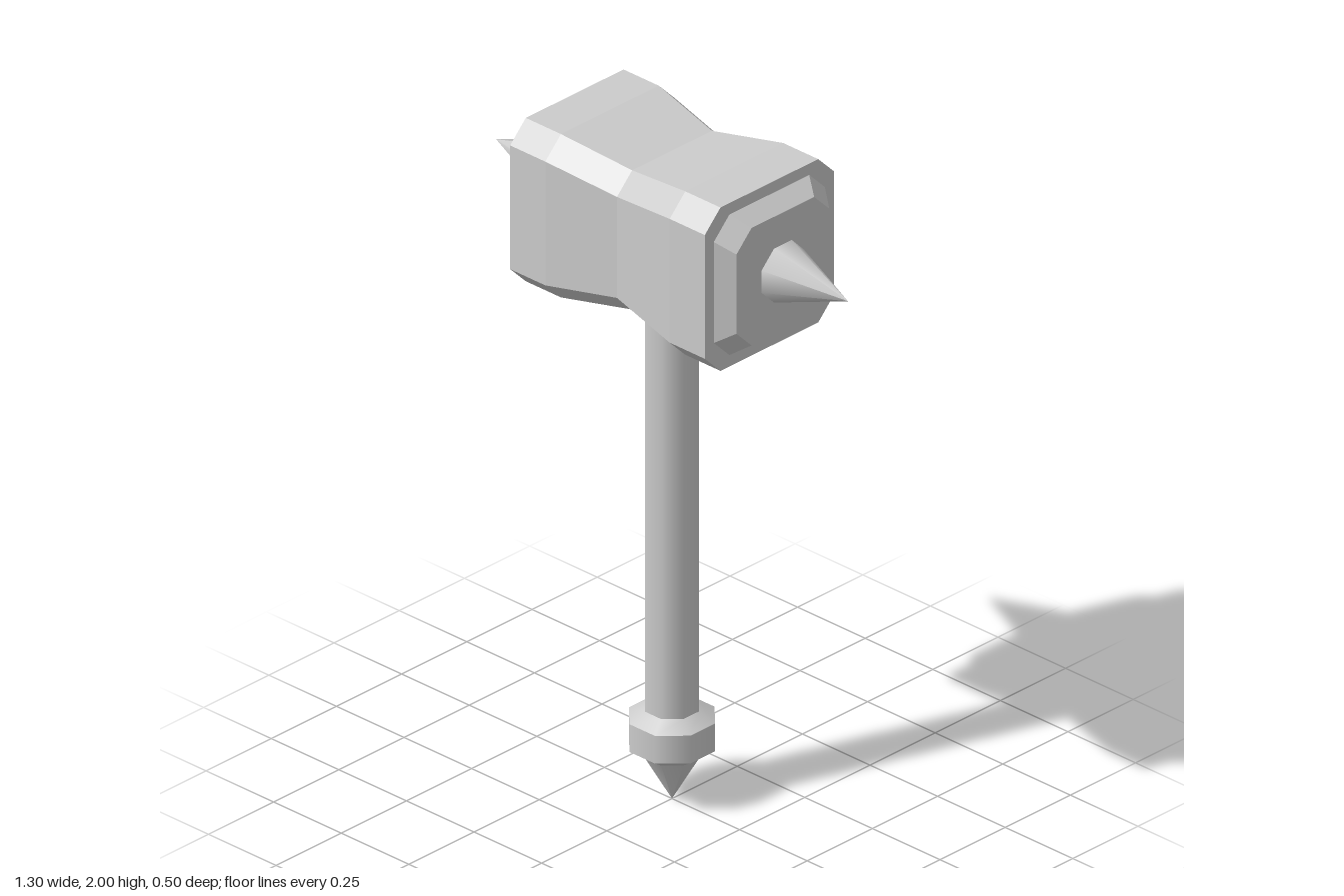
import * as THREE from 'three';

const HEAD_Y = 1.7525;
const SIDES = 8;

// Square with cut corners in the y-z plane, counter-clockwise seen from +x
function ring([x, half, cut]) {
  const f = half - cut;
  return [[half, -f], [half, f], [f, half], [-f, half], [-half, f], [-half, -f], [-f, -half], [f, -half]]
    .map(([y, z]) => [x, y, z]);
}

// Closed solid through cut-corner sections ordered by rising x
function loft(sections) {
  const rings = sections.map(ring);
  const pos = [];
  const tri = (...pts) => pts.forEach((p) => pos.push(...p));
  for (let i = 0; i < rings.length - 1; i++) {
    for (let j = 0; j < 8; j++) {
      const k = (j + 1) % 8;
      const a = rings[i][j], b = rings[i][k], c = rings[i + 1][k], d = rings[i + 1][j];
      tri(a, b, c);
      tri(a, c, d);
    }
  }
  const first = rings[0], last = rings[rings.length - 1];
  for (let j = 1; j < 7; j++) {
    tri(first[0], first[j + 1], first[j]);
    tri(last[0], last[j], last[j + 1]);
  }
  const geo = new THREE.BufferGeometry();
  geo.setAttribute('position', new THREE.Float32BufferAttribute(pos, 3));
  geo.computeVertexNormals();
  return geo;
}

// Eight-sided smooth frustum; sizes are measured to the flats
function frustum(top, bottom, height, open = true) {
  const k = 1 / Math.cos(Math.PI / SIDES);
  return new THREE.CylinderGeometry(top * k, bottom * k, height, SIDES, 1, open, Math.PI / SIDES);
}

export function createModel() {
  const model = new THREE.Group();
  model.name = 'warHammer';
  const flat = new THREE.MeshStandardMaterial({ color: 0xcccccc, flatShading: true });
  const smooth = new THREE.MeshStandardMaterial({ color: 0xcccccc });

  const add = (name, geo, mat, parent = model) => {
    const mesh = new THREE.Mesh(geo, mat);
    mesh.name = name;
    parent.add(mesh);
    return mesh;
  };

  // Head block with a pinched waist
  const head = new THREE.Group();
  head.name = 'head';
  head.position.y = HEAD_Y;
  model.add(head);
  add('headBlock', loft([
    [-0.36, 0.2475, 0.06], [-0.23, 0.2475, 0.06], [0, 0.211, 0.058],
    [0.23, 0.2475, 0.06], [0.36, 0.2475, 0.06],
  ]), flat, head);

  // Bevelled striking plate and spike at each end
  for (const [side, s] of [['left', 1], ['right', -1]]) {
    const plate = [[s * 0.36, 0.213, 0.06], [s * 0.41, 0.178, 0.058]];
    add(side + 'StrikingPlate', loft(s > 0 ? plate : plate.reverse()), flat, head);
    const spike = add(side + 'Spike', frustum(0, 0.082, 0.242), smooth, head);
    spike.rotation.z = -s * Math.PI / 2;
    spike.position.x = s * 0.53;
  }

  // Handle
  add('handle', frustum(0.072, 0.072, 1.3, false), smooth).position.y = 0.92;

  // Pommel: bevelled band ending in a point, as [y, radius] steps
  const pommel = new THREE.Group();
  pommel.name = 'pommel';
  model.add(pommel);
  const steps = [[0, 0], [0.14, 0.073], [0.168, 0.114], [0.252, 0.114], [0.28, 0.072]];
  const names = ['pommelPoint', 'pommelLowerBevel', 'pommelBand', 'pommelUpperBevel'];
  names.forEach((name, i) => {
    const [y0, r0] = steps[i], [y1, r1] = steps[i + 1];
    add(name, frustum(r1, r0, y1 - y0), smooth, pommel).position.y = (y0 + y1) / 2;
  });

  return model;
}
